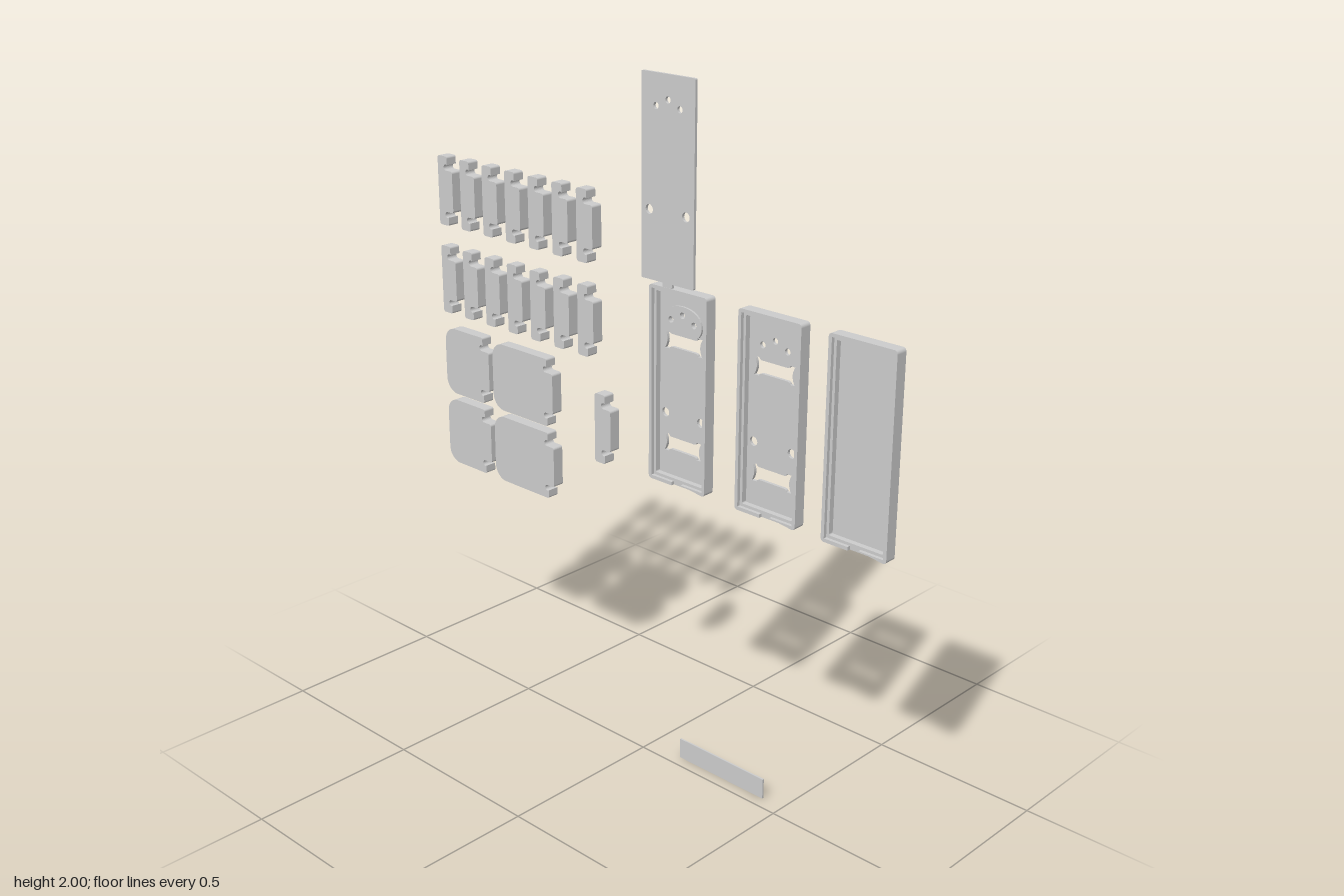
import * as THREE from 'three';

const BACK = -0.035, TRAY_W = 0.206, TRAY_H = 0.558;

// Rounded rectangle centred on (cx, cy)
function roundRect(w, h, r, cx = 0, cy = 0) {
  const s = new THREE.Shape(), x = w / 2, y = h / 2, q = Math.PI / 2;
  s.absarc(cx + x - r, cy - y + r, r, -q, 0);
  s.absarc(cx + x - r, cy + y - r, r, 0, q);
  s.absarc(cx - x + r, cy + y - r, r, q, 2 * q);
  s.absarc(cx - x + r, cy - y + r, r, 2 * q, 3 * q);
  s.closePath();
  return s;
}

function circle(x, y, r) {
  return new THREE.Path().absarc(x, y, r, 0, Math.PI * 2, true);
}

// Extrude a shape between two depths
function slab(name, shape, z0, z1) {
  const geo = new THREE.ExtrudeGeometry(shape, { depth: z1 - z0, bevelEnabled: false, curveSegments: 8 });
  geo.translate(0, 0, z0);
  const mesh = new THREE.Mesh(geo, new THREE.MeshStandardMaterial({ color: 0xcccccc, flatShading: true }));
  mesh.name = name;
  return mesh;
}

// Flat piece with rounded left corners and an undercut tab on its right edge
function tabbedShape(bodyW, totalW, r) {
  const s = new THREE.Shape(), h = 0.1035, q = Math.PI / 2;
  const tab = 0.062, nr = 0.009, nx = bodyW - 0.005, ny = tab + nr, c = 0.007;
  const open = Math.acos((bodyW - nx) / nr);
  const cr = 0.006;
  s.absarc(r, -h + r, r, 2 * q, 3 * q);
  s.absarc(bodyW - cr, -h + cr, cr, -q, 0);
  s.absarc(nx, -ny, nr, -open, q, true);
  s.absarc(totalW - c, -tab + c, c, -q, 0);
  s.absarc(totalW - c, tab - c, c, 0, q);
  s.absarc(nx, ny, nr, -q, open, true);
  s.absarc(bodyW - cr, h - cr, cr, 0, q);
  s.absarc(r, h - r, r, q, 2 * q);
  s.closePath();
  return s;
}

// Slot with flared ends
function boneSlot(cx, cy) {
  const p = new THREE.Path(), X = 0.067, H = 0.025, m = 0.018;
  p.moveTo(cx - X, cy + H);
  p.lineTo(cx - X + 0.016, cy + H);
  p.quadraticCurveTo(cx - X + 0.018, cy + m, cx - X + 0.026, cy + m);
  p.lineTo(cx + X - 0.026, cy + m);
  p.quadraticCurveTo(cx + X - 0.018, cy + m, cx + X - 0.016, cy + H);
  p.lineTo(cx + X, cy + H);
  p.quadraticCurveTo(cx + X - 0.016, cy, cx + X, cy - H);
  p.lineTo(cx + X - 0.016, cy - H);
  p.quadraticCurveTo(cx + X - 0.018, cy - m, cx + X - 0.026, cy - m);
  p.lineTo(cx - X + 0.026, cy - m);
  p.quadraticCurveTo(cx - X + 0.018, cy - m, cx - X + 0.016, cy - H);
  p.lineTo(cx - X, cy - H);
  p.quadraticCurveTo(cx - X + 0.016, cy, cx - X, cy + H);
  return p;
}

// Three small holes in an arc
function topHoles(y) {
  return [[-0.041, 0], [0, 0.019], [0.041, 0]].map(([x, dy]) => circle(x, y + dy, 0.009));
}

function screwHoles(y) {
  return [-0.064, 0.064].map(x => circle(x, y, 0.013));
}

// Kidney-shaped boss around the small holes
function bossShape(y) {
  const s = new THREE.Shape();
  s.moveTo(0, y - 0.026);
  s.bezierCurveTo(0.02, y - 0.026, 0.03, y - 0.042, 0.048, y - 0.036);
  s.bezierCurveTo(0.075, y - 0.025, 0.075, y + 0.012, 0.05, y + 0.03);
  s.bezierCurveTo(0.025, y + 0.048, -0.025, y + 0.048, -0.05, y + 0.03);
  s.bezierCurveTo(-0.075, y + 0.012, -0.075, y - 0.025, -0.048, y - 0.036);
  s.bezierCurveTo(-0.03, y - 0.042, -0.02, y - 0.026, 0, y - 0.026);
  return s;
}

// Rim frame split by a notch in the bottom wall
function notchedRim(wall, notch) {
  const s = new THREE.Shape(), x = TRAY_W / 2, y = TRAY_H / 2, r = 0.01, n = notch / 2, q = Math.PI / 2;
  s.moveTo(n, -y);
  s.absarc(x - r, -y + r, r, -q, 0);
  s.absarc(x - r, y - r, r, 0, q);
  s.absarc(-x + r, y - r, r, q, 2 * q);
  s.absarc(-x + r, -y + r, r, 2 * q, 3 * q);
  s.lineTo(-n, -y);
  s.lineTo(-n, -y + wall);
  s.lineTo(-x + wall, -y + wall);
  s.lineTo(-x + wall, y - wall);
  s.lineTo(x - wall, y - wall);
  s.lineTo(x - wall, -y + wall);
  s.lineTo(n, -y + wall);
  s.closePath();
  return s;
}

// Shallow open tray: floor, stepped wall and notched rim
function tray(name, pierced, boss) {
  const g = new THREE.Group();
  g.name = name;
  const floor = roundRect(TRAY_W, TRAY_H, 0.01);
  if (pierced) {
    floor.holes.push(...topHoles(0.187), ...screwHoles(-0.083), boneSlot(0, 0.127), boneSlot(0, -0.168));
  }
  const wall = roundRect(TRAY_W, TRAY_H, 0.01);
  wall.holes.push(roundRect(TRAY_W - 0.036, TRAY_H - 0.036, 0.004));
  g.add(slab('floor', floor, BACK, -0.026));
  g.add(slab('steppedWall', wall, -0.026, -0.01));
  g.add(slab('rim', notchedRim(0.01, 0.034), -0.01, 0));
  if (boss) {
    const b = bossShape(0.187);
    b.holes.push(...topHoles(0.187));
    g.add(slab('holeBoss', b, -0.026, -0.02));
  }
  return g;
}

// Cover plate with a locating tab on the bottom edge
function coverPlate() {
  const g = new THREE.Group();
  g.name = 'coverPlate';
  const plate = roundRect(0.184, 0.541, 0.004);
  plate.holes.push(...topHoles(0.187), ...screwHoles(-0.083));
  g.add(slab('plate', plate, 0.032, 0.04));
  g.add(slab('locatingTab', roundRect(0.034, 0.014, 0.003, 0, -0.275), 0.032, 0.04));
  return g;
}

export function createModel() {
  const model = new THREE.Group();
  const place = (obj, x, y) => {
    obj.position.set(x, y, 0);
    model.add(obj);
  };

  // Two rows of clips and one spare
  const clip = () => slab('clip', tabbedShape(0.04, 0.062, 0.008), BACK, 0);
  for (const y of [1.542, 1.271]) {
    for (let i = 0; i < 7; i++) place(clip(), -0.835 + i * 0.0968, y);
  }
  place(clip(), -0.19, 0.965);

  // Short and long end pads
  for (const y of [1.017, 0.789]) {
    place(slab('shortPad', tabbedShape(0.169, 0.195, 0.045), BACK, 0), -0.833, y);
    place(slab('longPad', tabbedShape(0.233, 0.257, 0.045), BACK, 0), -0.62, y);
  }

  // Trays
  place(tray('bossedTray', true, true), 0.124, 1.152);
  place(tray('slottedTray', true, false), 0.438, 1.152);
  place(tray('plainTray', false, false), 0.729, 1.152);

  // Cover plate and thin strip
  place(coverPlate(), 0.124, 1.7295);
  place(slab('strip', roundRect(0.315, 0.062, 0.001), -0.04, -0.035), 0.273, 0.031);
  return model;
}
